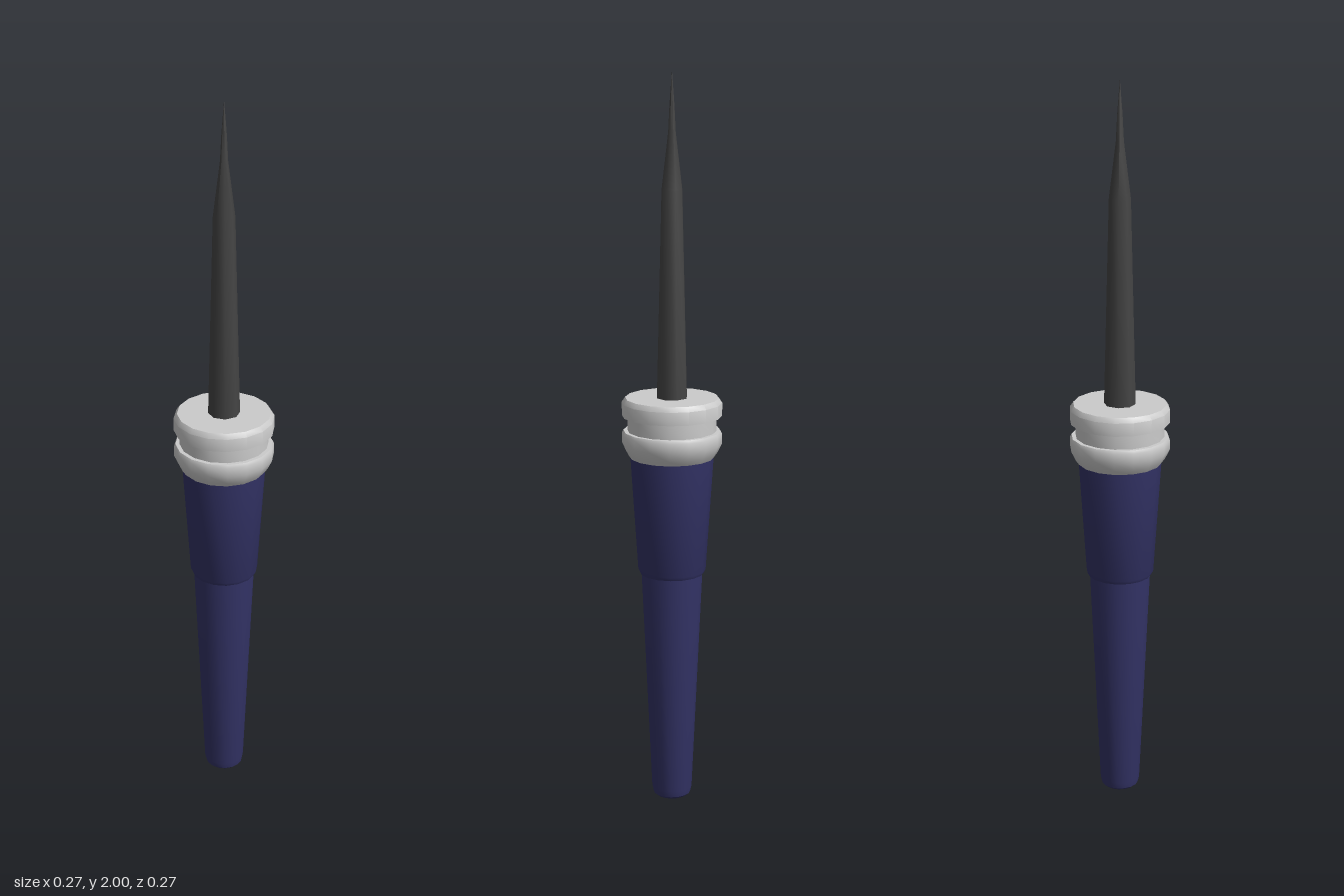
import * as THREE from 'three';
import { toCreasedNormals } from 'three/addons/utils/BufferGeometryUtils.js';

// Turned part from a [radius, height] profile running bottom to top
function turned(name, profile, sides, color, crease) {
  const points = profile.map(([r, y]) => new THREE.Vector2(r, y));
  const geometry = toCreasedNormals(new THREE.LatheGeometry(points, sides), crease);
  const mesh = new THREE.Mesh(geometry, new THREE.MeshStandardMaterial({ color }));
  mesh.name = name;
  return mesh;
}

export function createModel() {
  const group = new THREE.Group();
  group.name = 'pointedTool';
  const blue = 0x333366;

  // Tapered handle with rounded butt, and the wider sleeve above it
  group.add(turned('lowerHandle', [
    [0, 0], [0.043, 0], [0.051, 0.007], [0.055, 0.025], [0.083, 0.645], [0.083, 0.66],
  ], 16, blue, 0.6));
  group.add(turned('upperHandle', [
    [0, 0.645], [0.087, 0.645], [0.092, 0.655], [0.113, 0.975], [0, 0.975],
  ], 16, blue, 0.6));

  // Grooved collar
  group.add(turned('collar', [
    [0, 0.97], [0.114, 0.97], [0.123, 0.983], [0.135, 1.008], [0.135, 1.035], [0.131, 1.043],
    [0.12, 1.043], [0.12, 1.084], [0.135, 1.084], [0.135, 1.12], [0.126, 1.133], [0, 1.133],
  ], 16, 0xcccccc, 0.6));

  // Eight-sided spike tapering to a point
  group.add(turned('spike', [
    [0, 1.12], [0.043, 1.12], [0.029, 1.69], [0.0105, 1.84], [0.007, 1.91], [0, 2],
  ], 8, 0x444444, 0.9));

  return group;
}
